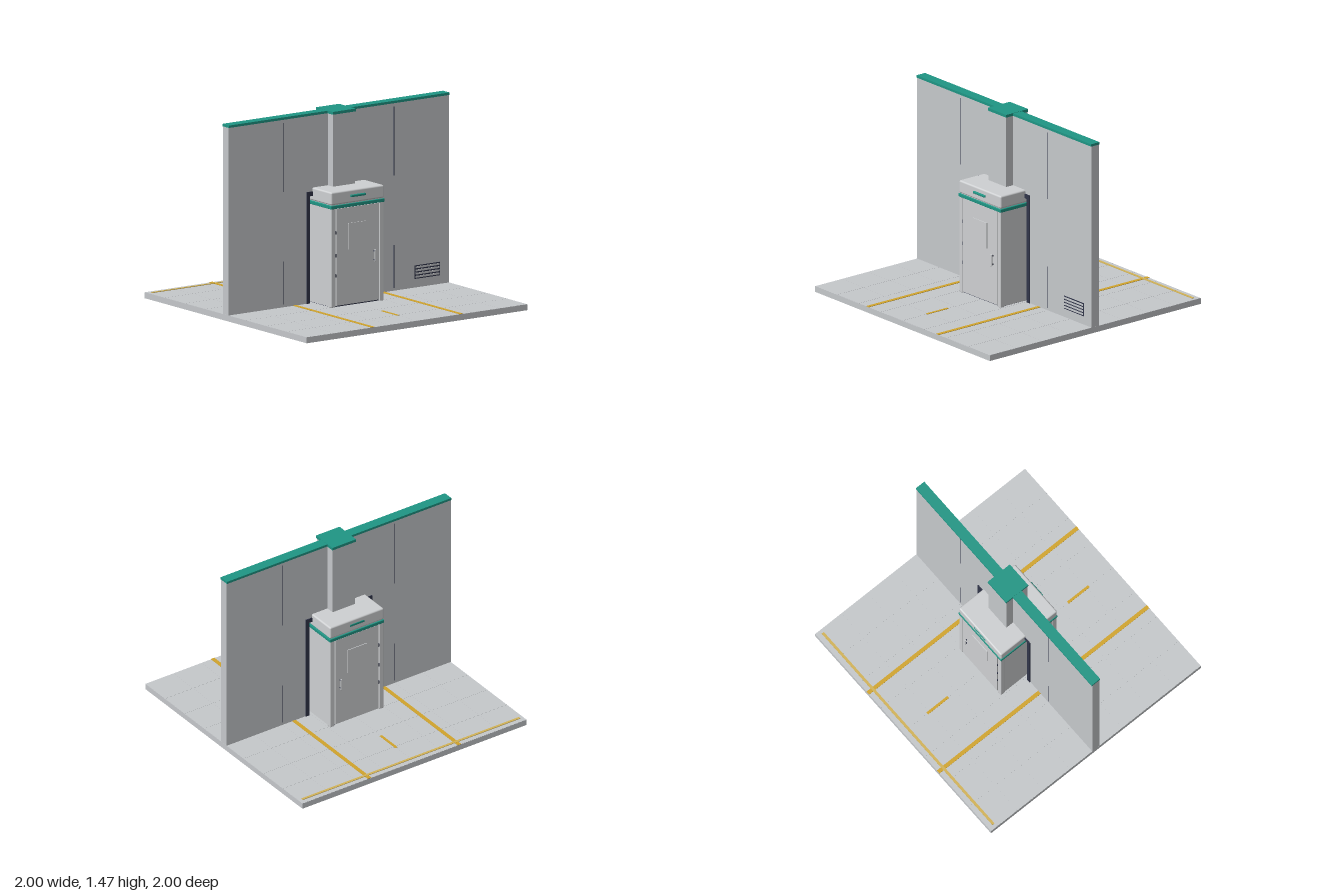
import * as THREE from 'three';
import { RoundedBoxGeometry } from 'three/addons/geometries/RoundedBoxGeometry.js';

const paint = (name, color) => Object.assign(new THREE.MeshStandardMaterial({ color }), { name });

export function createModel() {
  const model = new THREE.Group();
  model.name = 'boothDiorama';
  const concrete = paint('concrete grey', 0xc6c9cc);
  const shell = paint('shell grey', 0xcfd1d3);
  const teal = paint('teal', 0x1f9685);
  const dark = paint('dark navy', 0x31354a);
  const yellow = paint('marking yellow', 0xd2a52c);
  const pale = paint('pale yellow', 0xd3b458);

  // Box given by its lower and upper limits on each axis
  const box = (name, mat, x0, x1, y0, y1, z0, z1, round = 0) => {
    const size = [x1 - x0, y1 - y0, z1 - z0];
    const geo = round ? new RoundedBoxGeometry(...size, 3, round) : new THREE.BoxGeometry(...size);
    const mesh = new THREE.Mesh(geo, mat);
    mesh.name = name;
    mesh.position.set((x0 + x1) / 2, (y0 + y1) / 2, (z0 + z1) / 2);
    model.add(mesh);
    return mesh;
  };
  const FLOOR = 0.045;

  // Floor slab with square tiles
  box('floorSlab', concrete, -1, 1, 0, 0.044, -1, 1);
  for (let i = 0; i < 8; i++) {
    for (let j = 0; j < 8; j++) {
      const x = -1 + i * 0.25, z = -1 + j * 0.25;
      box('floorTile', concrete, x + 0.001, x + 0.249, 0.04, FLOOR, z + 0.001, z + 0.249);
    }
  }

  // Painted floor markings
  for (const s of [-1, 1]) {
    box('laneLine', yellow, s * 0.4 - 0.015, s * 0.4 + 0.015, FLOOR, 0.048, -1, 1);
    box('centreDash', yellow, -0.01, 0.01, FLOOR, 0.048, s * 0.67 - 0.1, s * 0.67 + 0.1);
  }
  box('stopLine', pale, -0.97, 0.97, FLOOR, 0.049, -0.962, -0.942);

  // Wall with a doorway opening
  const outline = new THREE.Shape([
    [-1, FLOOR], [-0.265, FLOOR], [-0.265, 0.85], [0.265, 0.85],
    [0.265, FLOOR], [1, FLOOR], [1, 1.445], [-1, 1.445],
  ].map(([x, y]) => new THREE.Vector2(x, y)));
  const wall = new THREE.Mesh(
    new THREE.ExtrudeGeometry(outline, { depth: 0.07, bevelEnabled: false }).translate(0, 0, -0.035), concrete);
  wall.name = 'wall';
  model.add(wall);
  box('wallCap', teal, -1, 1, 1.445, 1.463, -0.04, 0.04);
  box('pier', concrete, -0.1, 0.1, 0.88, 1.445, -0.1, 0.1);
  box('pierCap', teal, -0.105, 0.105, 1.444, 1.465, -0.105, 0.105);

  // Vertical wall seams on both faces
  for (const x of [-0.5, 0.5]) {
    for (const z of [-0.035, 0.035]) {
      for (const [y0, y1] of [[0.065, 0.385], [0.905, 1.42]]) {
        box('wallSeam', dark, x - 0.003, x + 0.003, y0, y1, z - 0.001, z + 0.001);
      }
    }
  }

  // Vent grille
  box('ventBack', dark, 0.685, 0.915, 0.11, 0.21, 0.034, 0.038);
  for (let i = 0; i < 4; i++) {
    const y = 0.118 + i * 0.0235;
    box('ventSlat', concrete, 0.692, 0.908, y, y + 0.014, 0.037, 0.041);
  }

  // Dark frame around the opening
  for (const s of [-1, 1]) {
    box('frameJamb', dark, s * 0.28 - 0.015, s * 0.28 + 0.015, FLOOR, 0.875, -0.042, 0.042);
  }
  box('frameHead', dark, -0.295, 0.295, 0.845, 0.878, -0.042, 0.042);

  // Booth body: dark core, side panels and corner posts
  box('boothCore', dark, -0.225, 0.225, FLOOR, 0.79, -0.25, 0.25);
  for (const s of [-1, 1]) {
    box('sidePanel', shell, s * 0.226 - 0.008, s * 0.226 + 0.008, 0.05, 0.785, -0.228, 0.228);
    for (const t of [-1, 1]) {
      box('cornerPost', shell, s * 0.219 - 0.019, s * 0.219 + 0.019, FLOOR, 0.785,
        t * 0.247 - 0.02, t * 0.247 + 0.02, 0.005);
    }
  }

  // Front and back doors with panel, handle and hinges
  for (const t of [-1, 1]) {
    const at = (a, b) => (t > 0 ? [a, b] : [-b, -a]);
    box('door', shell, -0.193, 0.193, 0.056, 0.778, ...at(0.24, 0.266));
    box('doorPanel', shell, -0.085, 0.085, 0.465, 0.66, ...at(0.264, 0.272));
    box('handle', shell, 0.143, 0.156, 0.345, 0.44, ...at(0.276, 0.286), 0.004);
    for (const y of [0.36, 0.425]) {
      box('handleMount', dark, 0.146, 0.153, y - 0.005, y + 0.005, ...at(0.264, 0.278));
    }
    for (const y of [0.28, 0.43, 0.6]) {
      box('hinge', dark, -0.2, -0.192, y - 0.012, y + 0.012, ...at(0.258, 0.268));
    }
  }

  // Teal band, rounded hood and light strips
  box('tealBand', teal, -0.242, 0.242, 0.78, 0.806, -0.27, 0.27, 0.004);
  box('hoodNeck', shell, -0.23, 0.23, 0.8, 0.82, -0.26, 0.26);
  box('hood', shell, -0.24, 0.24, 0.81, 0.906, -0.268, 0.268, 0.012);
  box('lightStrip', teal, -0.068, 0.068, 0.852, 0.87, 0.262, 0.28, 0.006);
  box('rearLightStrip', teal, -0.065, 0.065, 0.852, 0.87, -0.272, -0.262, 0.004);

  return model;
}
